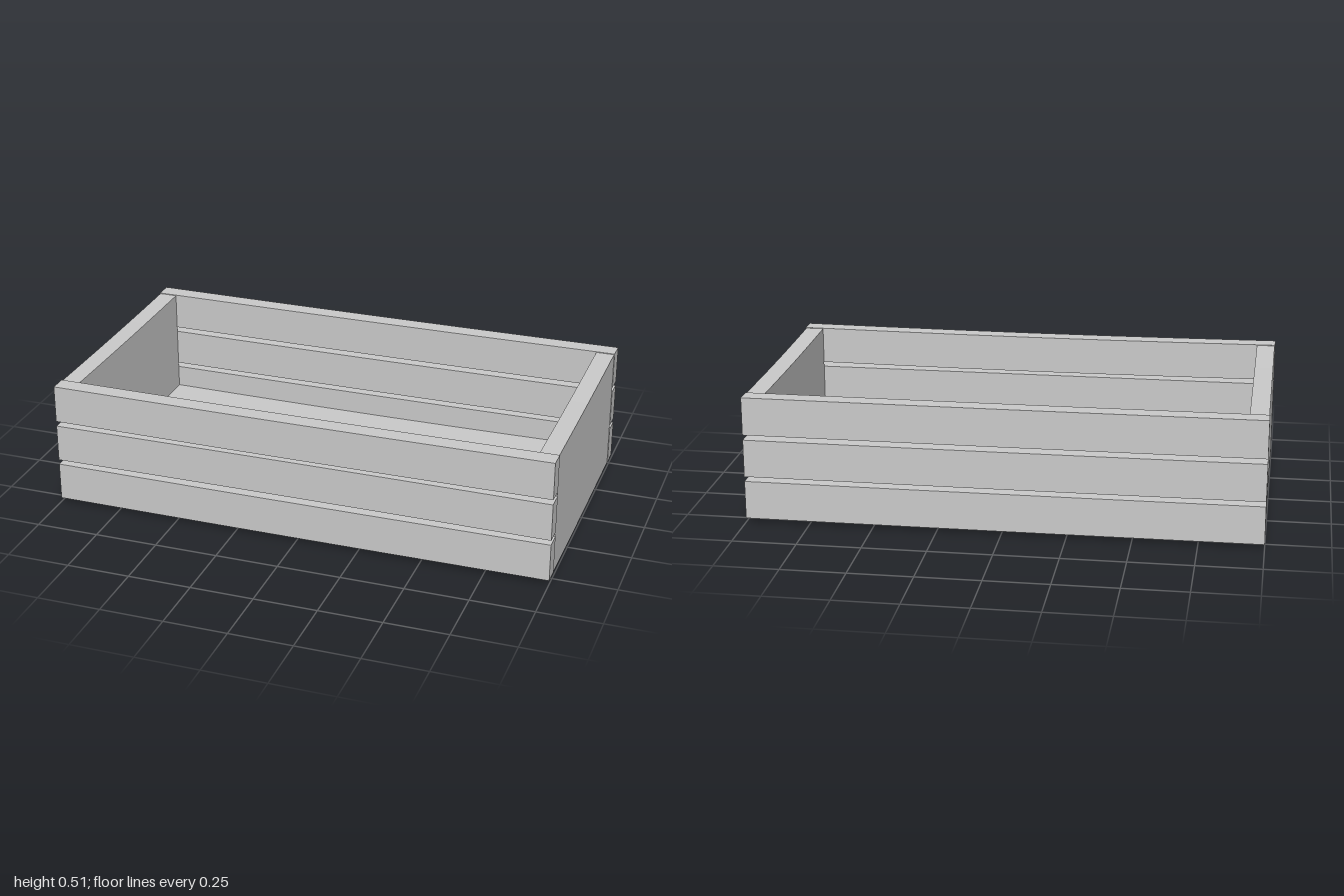
import * as THREE from 'three';

const material = new THREE.MeshStandardMaterial({ color: 0xcccccc, flatShading: true });

// A plank along x or z, given by its limits, with a slight hand-cut bow along its length
function board(name, [x0, x1], [y0, y1], [z0, z1], axis, bowY = 0, bowZ = 0) {
  const w = x1 - x0, h = y1 - y0, d = z1 - z0;
  const geometry = new THREE.BoxGeometry(w, h, d, axis === 'x' ? 6 : 1, 1, axis === 'z' ? 6 : 1);
  const p = geometry.attributes.position;
  const half = (axis === 'x' ? w : d) / 2;
  for (let i = 0; i < p.count; i++) {
    const t = (axis === 'x' ? p.getX(i) : p.getZ(i)) / half;
    const bow = Math.cos(t * Math.PI / 2);
    p.setY(i, p.getY(i) + bowY * bow);
    if (axis === 'x') p.setZ(i, p.getZ(i) + bowZ * bow);
    else p.setX(i, p.getX(i) + bowZ * bow);
  }
  geometry.computeVertexNormals();
  const mesh = new THREE.Mesh(geometry, material);
  mesh.name = name;
  mesh.position.set((x0 + x1) / 2, (y0 + y1) / 2, (z0 + z1) / 2);
  return mesh;
}

export function createModel() {
  const crate = new THREE.Group();
  crate.name = 'slattedCrate';

  // Solid end panels, set between the long sides
  crate.add(board('leftEndPanel', [0.925, 0.998], [0.015, 0.504], [-0.476, 0.476], 'z', -0.004));
  crate.add(board('rightEndPanel', [-0.998, -0.925], [0.015, 0.504], [-0.476, 0.476], 'z', -0.003));

  // Three horizontal slats on the front and on the back
  const rows = [[0.018, 0.169], [0.188, 0.337], [0.357, 0.507]];
  rows.forEach((row, i) => {
    const bow = [-0.004, 0.001, -0.005][i];
    crate.add(board('frontSlat' + (i + 1), [-1, 1], row, [0.476, 0.546], 'x', bow, -0.003));
    crate.add(board('backSlat' + (i + 1), [-1, 1], row, [-0.546, -0.476], 'x', -0.002, 0.002));
  });

  // Five floor slats between the end panels
  [-0.4, -0.202, 0, 0.197, 0.396].forEach((z, i) => {
    const bowY = [-0.004, 0, 0.002, -0.014, -0.011][i];
    const bowZ = [0.004, -0.002, 0, 0.003, -0.002][i];
    crate.add(board('floorSlat' + (i + 1), [-0.926, 0.926], [0.016, 0.08], [z - 0.076, z + 0.076], 'x', bowY, bowZ));
  });

  return crate;
}
